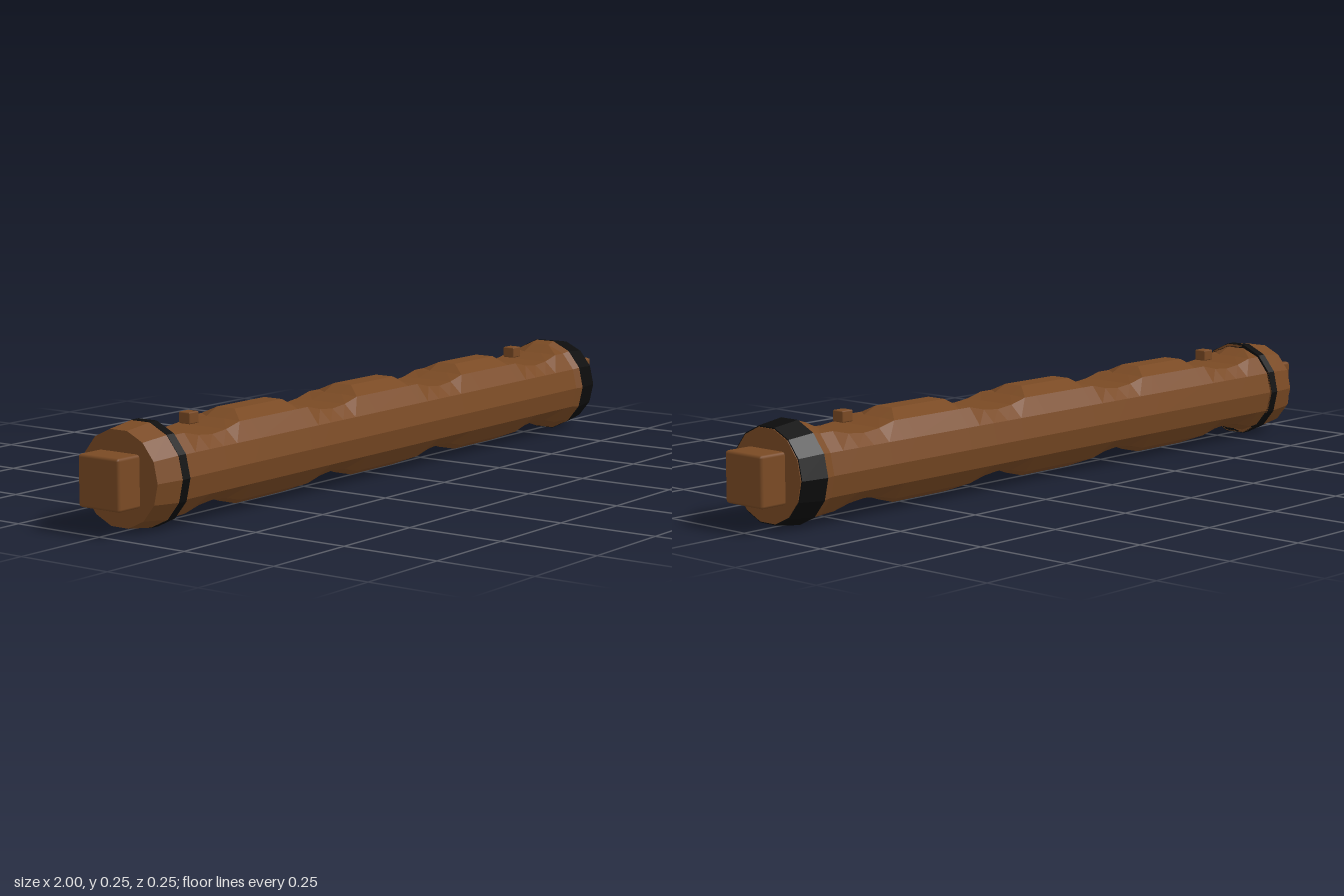
import * as THREE from 'three';
import { RoundedBoxGeometry } from 'three/addons/geometries/RoundedBoxGeometry.js';

const SIDES = 14;
const CENTRE_Y = 0.123;

// Faceted shaft section along x; each ring is [x, radius, half height].
// Carved rings are flattened above and below, leaving the sides straight.
function loft(rings) {
  const pos = [];
  const point = ([x, r, h], i) => {
    const a = (i / SIDES) * Math.PI * 2;
    return [x, CENTRE_Y + THREE.MathUtils.clamp(r * Math.sin(a), -h, h), r * Math.cos(a)];
  };
  const first = rings[0], last = rings[rings.length - 1];
  for (let i = 0; i < SIDES; i++) {
    for (let j = 0; j < rings.length - 1; j++) {
      const a = point(rings[j], i), b = point(rings[j + 1], i);
      const c = point(rings[j + 1], i + 1), d = point(rings[j], i + 1);
      pos.push(...a, ...b, ...c, ...a, ...c, ...d);
    }
    // End caps
    pos.push(first[0], CENTRE_Y, 0, ...point(first, i), ...point(first, i + 1));
    pos.push(last[0], CENTRE_Y, 0, ...point(last, i + 1), ...point(last, i));
  }
  const geo = new THREE.BufferGeometry();
  geo.setAttribute('position', new THREE.Float32BufferAttribute(pos, 3));
  geo.computeVertexNormals();
  return geo;
}

export function createModel() {
  const wood = new THREE.MeshStandardMaterial({ color: 0x7a4a24 });
  wood.name = 'brown wood';
  const black = new THREE.MeshStandardMaterial({ color: 0x0c0c0c });
  black.name = 'black band';

  const model = new THREE.Group();
  model.name = 'carvedBaton';
  const add = (name, geo, mat, x = 0, y = 0) => {
    const mesh = new THREE.Mesh(geo, mat);
    mesh.name = name;
    mesh.position.set(x, y, 0);
    model.add(mesh);
  };

  // Carved shaft: four scalloped grips between full-width swells
  const rings = [[-0.83, 0.125, 0.13]];
  for (const x of [-0.69, -0.23, 0.23, 0.69]) {
    const scallop = [[-0.14, 0.114], [-0.1, 0.096], [-0.05, 0.082], [0, 0.077],
      [0.05, 0.082], [0.1, 0.096], [0.14, 0.114]];
    for (const [dx, h] of scallop) rings.push([x + dx, 0.12, h]);
  }
  rings.push([0.855, 0.125, 0.13]);
  add('shaft', loft(rings), wood);

  // Tapered right-hand pommel with its narrow band
  add('narrowBand', loft([[-0.855, 0.126, 0.13], [-0.83, 0.126, 0.13]]), black);
  add('taperedEnd', loft([[-0.93, 0.115, 0.13], [-0.855, 0.125, 0.13]]), wood);

  // Wide band closing the other end, with a wooden face
  add('wideBand', loft([[0.855, 0.126, 0.13], [0.926, 0.116, 0.13]]), black);
  add('endFace', loft([[0.92, 0.113, 0.13], [0.928, 0.113, 0.13]]), wood);

  // Square tenons and small pegs, mirrored
  for (const s of [-1, 1]) {
    add('endTenon', new RoundedBoxGeometry(0.1, 0.123, 0.123, 1, 0.007), wood, s * 0.95, CENTRE_Y);
    add('peg', new RoundedBoxGeometry(0.034, 0.028, 0.034, 1, 0.003), wood, s * 0.685, 0.232);
  }
  return model;
}
